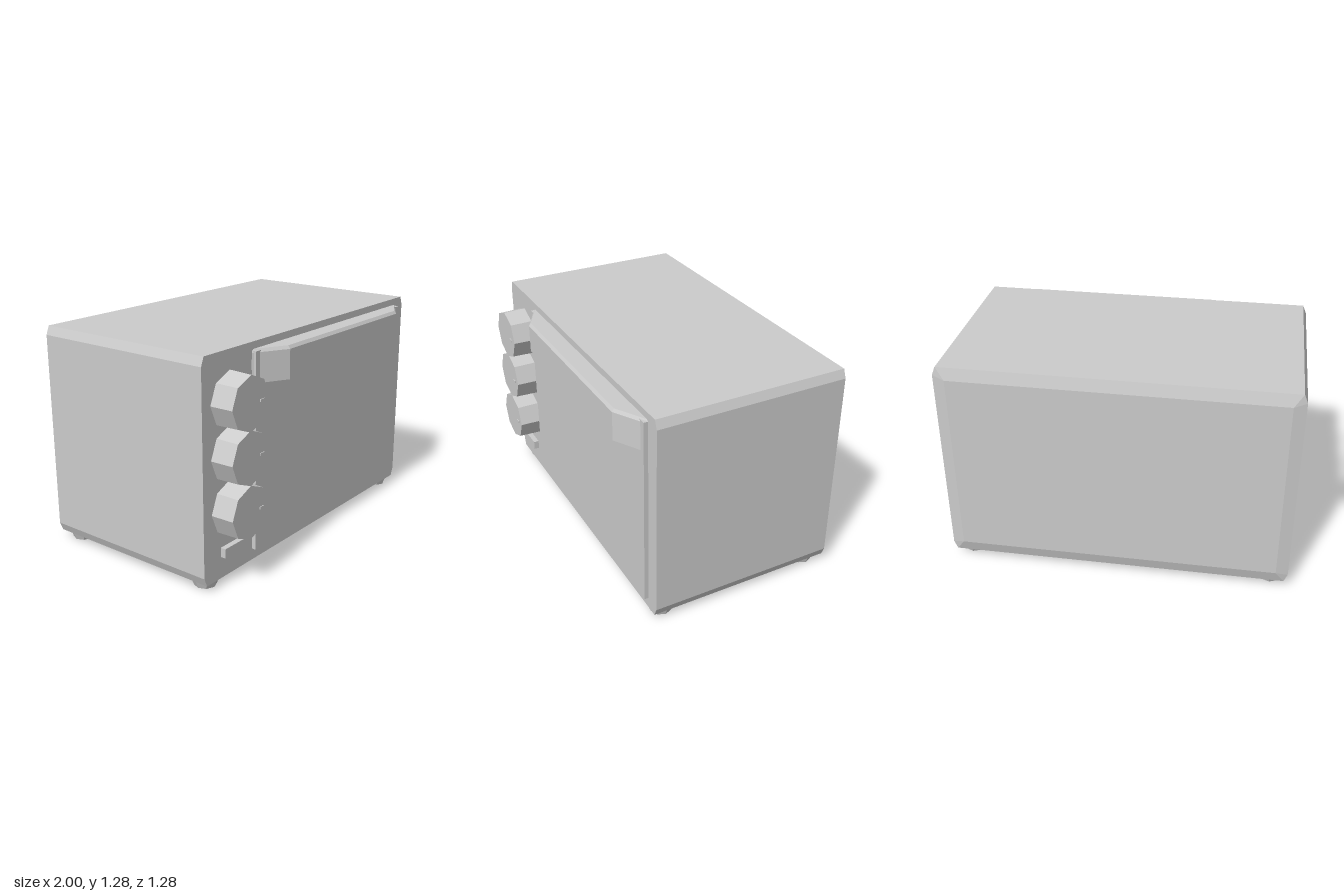
import * as THREE from 'three';
import { ConvexGeometry } from 'three/addons/geometries/ConvexGeometry.js';

const grey = new THREE.MeshStandardMaterial({ color: 0xcccccc, flatShading: true });
grey.name = 'plain grey';

export function createModel() {
  const model = new THREE.Group();
  model.name = 'toasterOven';

  const add = (name, geometry, x = 0, y = 0, z = 0) => {
    const mesh = new THREE.Mesh(geometry, grey);
    mesh.name = name;
    mesh.position.set(x, y, z);
    model.add(mesh);
    return mesh;
  };
  // Box given by its limits on each axis
  const block = (name, x0, x1, y0, y1, z0, z1) =>
    add(name, new THREE.BoxGeometry(x1 - x0, y1 - y0, z1 - z0),
      (x0 + x1) / 2, (y0 + y1) / 2, (z0 + z1) / 2);

  // Casing: clipped long edges and a shallow bevel around the back
  const casing = [];
  for (const sx of [-1, 1]) {
    for (const sy of [-1, 1]) {
      for (const z of [0.505, -0.62]) {
        casing.push(new THREE.Vector3(sx * 0.98, 0.663 + sy * 0.62, z));
        casing.push(new THREE.Vector3(sx, 0.663 + sy * 0.57, z));
      }
      casing.push(new THREE.Vector3(sx * 0.93, 0.663 + sy * 0.55, -0.64));
    }
  }
  add('casing', new ConvexGeometry(casing));

  // Door panel
  block('door', -0.595, 0.91, 0.11, 1.235, 0.49, 0.53);

  // Full-width handle with slanted ends and a clipped upper lip
  const handle = [];
  for (const [x, z] of [[-0.6, 0.51], [-0.41, 0.613], [0.73, 0.613], [0.91, 0.51]]) {
    handle.push(new THREE.Vector3(x, 1.06, z));
    handle.push(new THREE.Vector3(x, 1.225, z));
    handle.push(new THREE.Vector3(x, 1.243, z - 0.012));
  }
  add('handle', new ConvexGeometry(handle));

  // Three eight-sided knobs, each with a small pointer
  for (const y of [1.02, 0.73, 0.43]) {
    const knob = new THREE.CylinderGeometry(0.151, 0.155, 0.14, 8);
    knob.rotateX(Math.PI / 2);
    add('knob', knob, -0.78, y, 0.57);
    block('knobPointer', -0.707, -0.673, y - 0.007, y + 0.007, 0.63, 0.645);
  }

  // Power button
  block('button', -0.865, -0.71, 0.168, 0.222, 0.49, 0.537);

  // Feet tapering toward the ground
  for (const x of [-0.9, 0.9]) {
    for (const z of [0.425, -0.525]) {
      add('foot', new THREE.CylinderGeometry(0.08, 0.062, 0.05, 8), x, 0.025, z);
    }
  }
  return model;
}
